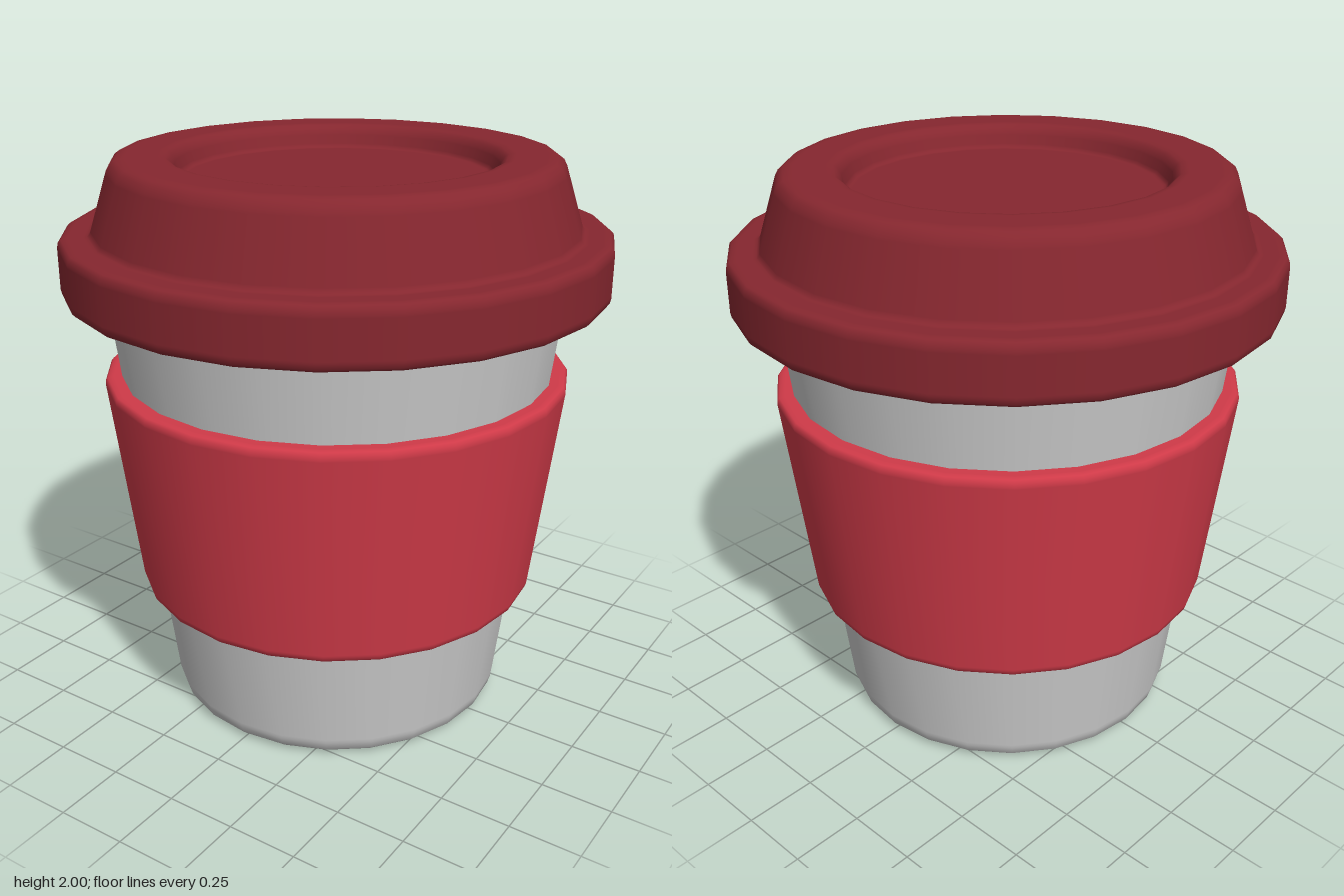
import * as THREE from 'three';

const SIDES = 24;

// Rounds the corners of a profile given as [radius, height, cornerCut] points.
function roundProfile(points, steps = 3) {
  const out = [];
  points.forEach(([x, y, cut], i) => {
    const corner = new THREE.Vector2(x, y);
    if (!cut) {
      out.push(corner);
      return;
    }
    const toward = (p, d) => {
      const dir = new THREE.Vector2(p[0], p[1]).sub(corner).normalize();
      return corner.clone().addScaledVector(dir, d);
    };
    const prev = points[i - 1], next = points[i + 1];
    const curve = new THREE.QuadraticBezierCurve(toward(prev, cut), corner, toward(next, cut));
    // Support loops either side keep the long faces evenly shaded
    out.push(toward(prev, cut * 1.25), ...curve.getPoints(steps), toward(next, cut * 1.25));
  });
  return out;
}

function lathePart(name, color, profile) {
  const geometry = new THREE.LatheGeometry(roundProfile(profile), SIDES);
  const material = new THREE.MeshStandardMaterial({ color, side: THREE.DoubleSide });
  const mesh = new THREE.Mesh(geometry, material);
  mesh.name = name;
  return mesh;
}

export function createModel() {
  const group = new THREE.Group();
  group.name = 'travelCup';

  // Tapered cup body, running up inside the lid
  group.add(lathePart('cupBody', 0xcccccc, [
    [0, 0.005], [0.605, 0.005, 0.055], [0.812, 1.7],
  ]));

  // Grip sleeve wrapped around the body
  group.add(lathePart('sleeve', 0xcf3a48, [
    [0.655, 0.458], [0.722, 0.458, 0.026], [0.819, 1.255, 0.026], [0.75, 1.255],
  ]));

  // Lid: wide rim, sloping shoulder and a shallow dished top
  group.add(lathePart('lid', 0x86272f, [
    [0.78, 1.547], [0.94, 1.547, 0.03], [0.94, 1.747, 0.03],
    [0.835, 1.747, 0.015], [0.753, 2, 0.04], [0.56, 2, 0.03],
    [0.53, 1.92, 0.012], [0, 1.92],
  ]));

  return group;
}
